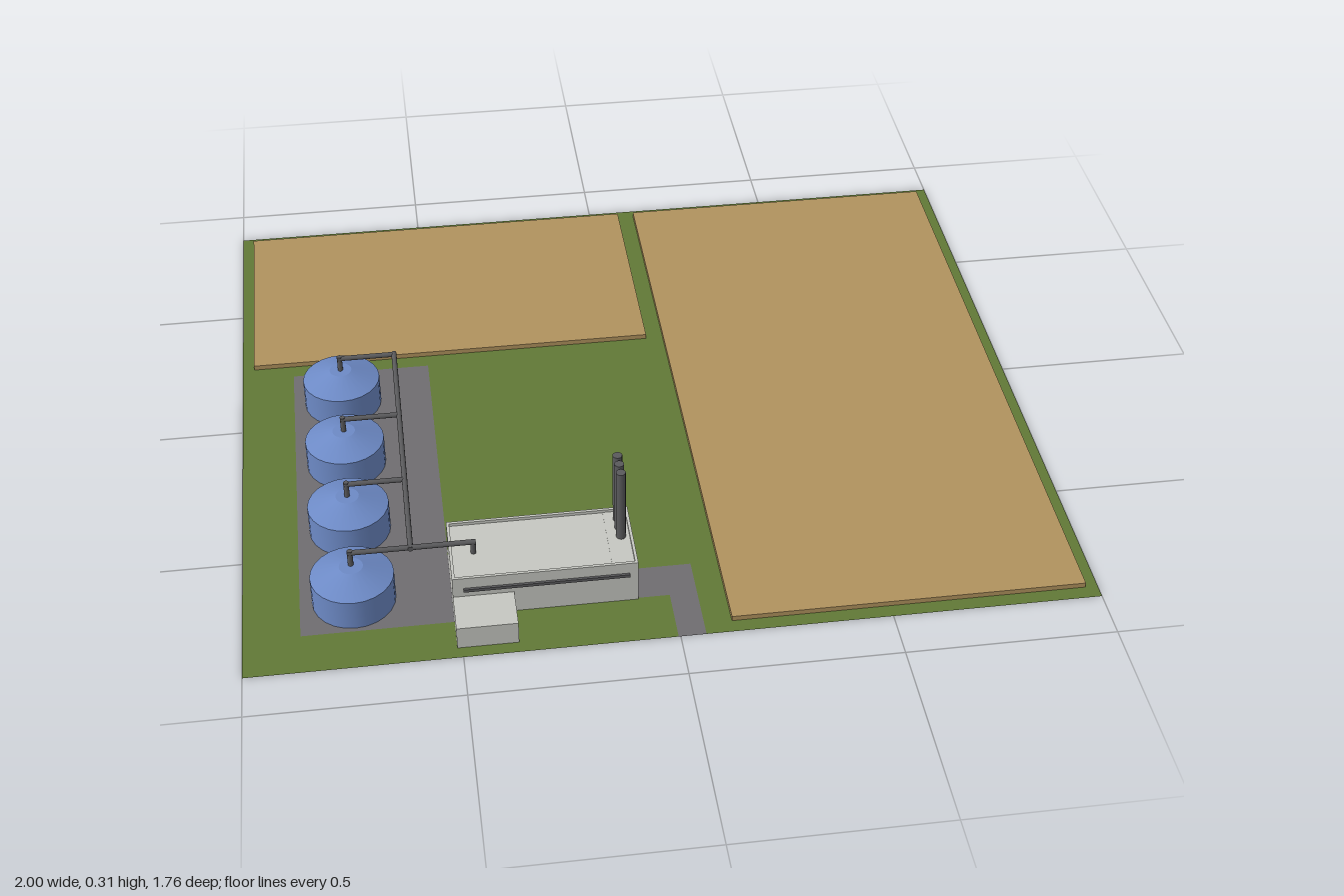
import * as THREE from 'three';

const mat = (name, color) => {
  const m = new THREE.MeshStandardMaterial({ color, side: THREE.DoubleSide });
  m.name = name;
  return m;
};

export function createModel() {
  const root = new THREE.Group();
  root.name = 'processingPlant';
  const grass = mat('grass green', 0x617936);
  const soil = mat('field tan', 0xb0925e);
  const asphalt = mat('asphalt grey', 0x6f6d70);
  const wall = mat('wall light grey', 0xc6c7c1);
  const tankBlue = mat('tank blue', 0x6d8ac6);
  const metal = mat('pipe dark grey', 0x5a5a5c);

  const add = (name, geo, material, parent = root) => {
    const m = new THREE.Mesh(geo, material);
    m.name = name;
    parent.add(m);
    return m;
  };
  // Box given by its limits
  const box = (name, x0, x1, y0, y1, z0, z1, material, parent) => {
    const g = new THREE.BoxGeometry(x1 - x0, y1 - y0, z1 - z0);
    g.translate((x0 + x1) / 2, (y0 + y1) / 2, (z0 + z1) / 2);
    return add(name, g, material, parent);
  };
  // Horizontal sheet from [x, z] corners, with optional hole paths
  const toV = (pts) => pts.map(([x, z]) => new THREE.Vector2(x, -z));
  const sheet = (name, pts, holes, material) => {
    const s = new THREE.Shape(toV(pts));
    holes.forEach((h) => s.holes.push(new THREE.Path(toV(h))));
    return add(name, new THREE.ShapeGeometry(s).rotateX(-Math.PI / 2), material);
  };
  const rect = (x0, x1, z0, z1) => [[x0, z0], [x1, z0], [x1, z1], [x0, z1]];

  // Tank layout
  const tankX = -0.74, tankR = 0.098;
  const tankZ = [-0.095, 0.155, 0.405, 0.655];
  const ring = (z) => Array.from({ length: 24 }, (_, i) => {
    const a = (i / 24) * Math.PI * 2;
    return [tankX + Math.sin(a) * tankR, z + Math.cos(a) * tankR];
  });

  // Ground, cut out around the fields, the tank yard and the drive
  const fields = [[-0.97, 0.08, -0.855, -0.262], [0.125, 0.97, -0.855, 0.845]];
  const yard = rect(-0.867, -0.512, -0.22, 0.763);
  const drive = [[-0.08, 0.64], [0.06, 0.64], [0.06, 0.88], [-0.005, 0.88], [-0.005, 0.74], [-0.08, 0.74]];
  sheet('ground',
    [[-1, -0.88], [1, -0.88], [1, 0.88], ...[drive[2], drive[1], drive[0], drive[5], drive[4], drive[3]], [-1, 0.88]],
    [...fields.map((f) => rect(...f)), yard], grass);
  sheet('tankYard', yard, tankZ.map(ring), asphalt);
  sheet('drive', drive, [], asphalt);

  // Raised fields, open underneath
  fields.forEach(([x0, x1, z0, z1]) => {
    const f = box('field', x0, x1, 0, 0.013, z0, z1, soil);
    const idx = Array.from(f.geometry.index.array);
    idx.splice(18, 6);
    f.geometry.setIndex(idx);
    f.geometry.clearGroups();
  });

  // Tanks: open shell, conical roof and flat cap
  const tanks = new THREE.Group();
  tanks.name = 'tanks';
  root.add(tanks);
  tankZ.forEach((z) => {
    const shell = new THREE.CylinderGeometry(tankR, tankR, 0.078, 24, 1, true);
    add('tankWall', shell, tankBlue, tanks).position.set(tankX, 0.039, z);
    const roof = new THREE.CylinderGeometry(0.028, tankR, 0.027, 24, 1, true);
    add('tankRoof', roof, tankBlue, tanks).position.set(tankX, 0.0915, z);
    const cap = new THREE.CircleGeometry(0.028, 24).rotateX(-Math.PI / 2);
    add('tankCap', cap, tankBlue, tanks).position.set(tankX, 0.105, z);
  });

  // Pipework
  const pipes = new THREE.Group();
  pipes.name = 'pipework';
  root.add(pipes);
  const pipeY = 0.141, pipeR = 0.0065, headX = -0.6;
  const pipe = (name, a, b, r = pipeR) => {
    const p = new THREE.Vector3(...a), q = new THREE.Vector3(...b);
    const m = add(name, new THREE.CylinderGeometry(r, r, p.distanceTo(q), 12), metal, pipes);
    m.position.copy(p).lerp(q, 0.5);
    m.quaternion.setFromUnitVectors(new THREE.Vector3(0, 1, 0), q.sub(p).normalize());
  };
  tankZ.forEach((z, i) => {
    const zz = i === 3 ? 0.65 : z;
    pipe('tankRiser', [tankX, 0.1, zz], [tankX, pipeY + pipeR, zz]);
    pipe('branchPipe', [tankX - pipeR, pipeY, zz], [headX, pipeY, zz]);
  });
  pipe('headerPipe', [headX, pipeY, tankZ[0] - pipeR], [headX, pipeY, 0.65 + pipeR]);
  pipe('feedPipe', [headX, pipeY, 0.65], [-0.455 + pipeR, pipeY, 0.65]);
  pipe('feedDrop', [-0.455, pipeY, 0.65], [-0.455, 0.1, 0.65]);

  // Main building with a loading bay at its +x end
  const hall = new THREE.Group();
  hall.name = 'building';
  root.add(hall);
  const X0 = -0.512, X1 = -0.08, Z0 = 0.545, Z1 = 0.745, roofY = 0.108, topY = 0.116;
  box('mainHall', X0, -0.14, 0.001, roofY, Z0, Z1, wall, hall);
  const end = new THREE.Shape(toV([[Z0, 0], [0.645, 0], [0.645, -0.095], [0.737, -0.095],
    [0.737, 0], [Z1, 0], [Z1, -roofY], [Z0, -roofY]]).map((v) => new THREE.Vector2(-v.x, v.y)));
  const endGeo = new THREE.ExtrudeGeometry(end, { depth: X1 + 0.14, bevelEnabled: false });
  add('loadingBay', endGeo.rotateY(Math.PI / 2).translate(-0.14, 0.001, 0), wall, hall);
  box('storedCrop', -0.14, -0.1, 0.001, 0.05, 0.655, 0.73, soil, hall);

  // Low parapet
  const t = 0.007;
  box('parapet', X0, X1, roofY, topY, Z0, Z0 + t, wall, hall);
  box('parapet', X0, X1, roofY, topY, Z1 - t, Z1, wall, hall);
  box('parapet', X0, X0 + t, roofY, topY, Z0 + t, Z1 - t, wall, hall);
  box('parapet', X1 - t, X1, roofY, topY, Z0 + t, Z1 - t, wall, hall);

  // Window strips on the long walls
  box('frontWindowStrip', -0.487, -0.1, 0.078, 0.086, Z1, Z1 + 0.006, metal, hall);
  box('backWindowStrip', -0.487, -0.1, 0.078, 0.086, Z0 - 0.003, Z0, metal, hall);

  // Annex
  box('annex', X0, -0.37, 0.001, 0.061, Z1, 0.85, wall, hall);

  // Chimneys
  [0.579, 0.61, 0.641].forEach((z) => pipe('chimney', [-0.107, 0.1, z], [-0.107, 0.305, z], 0.0115));

  return root;
}
